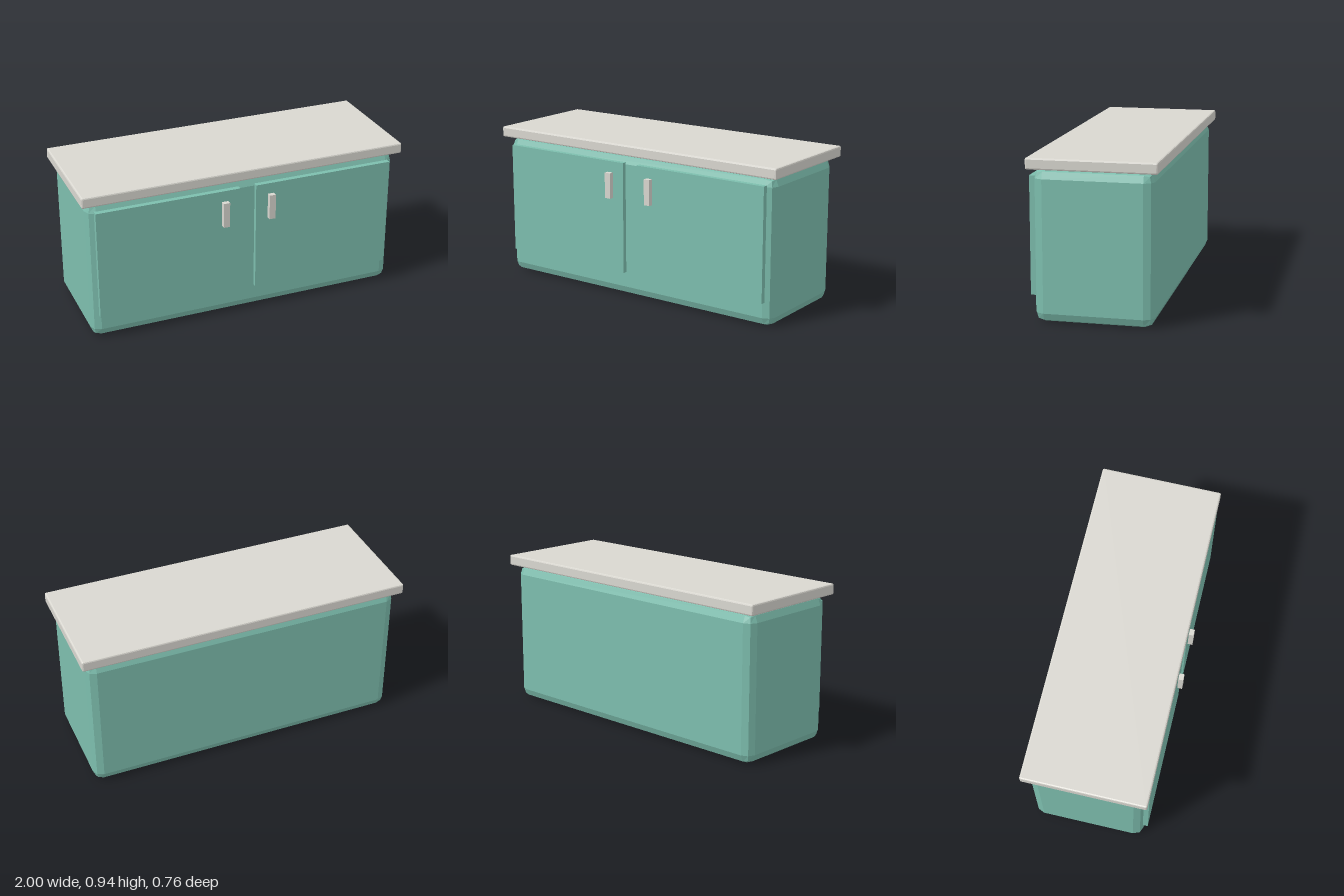
import * as THREE from 'three';
import { RoundedBoxGeometry } from 'three/addons/geometries/RoundedBoxGeometry.js';

export function createModel() {
  const group = new THREE.Group();
  group.name = 'cabinet';

  const teal = new THREE.MeshStandardMaterial({ color: 0x7dbeae, flatShading: true });
  teal.name = 'teal paint';
  const stone = new THREE.MeshStandardMaterial({ color: 0xd9d7d0, flatShading: true });
  stone.name = 'pale stone';

  // Box given by its min and max corners, with an optional chamfered edge
  function addBox(name, material, min, max, radius = 0) {
    const [w, h, d] = max.map((v, i) => v - min[i]);
    const geometry = radius
      ? new RoundedBoxGeometry(w, h, d, 1, radius)
      : new THREE.BoxGeometry(w, h, d);
    const mesh = new THREE.Mesh(geometry, material);
    mesh.name = name;
    mesh.position.set(...max.map((v, i) => (v + min[i]) / 2));
    group.add(mesh);
  }

  // Carcass and worktop
  addBox('body', teal, [-0.967, 0, -0.35], [0.967, 0.872, 0.327], 0.056);
  addBox('worktop', stone, [-1, 0.872, -0.38], [1, 0.937, 0.355], 0.009);

  // Mirrored doors with handles near the middle
  for (const [side, s] of [['left', 1], ['right', -1]]) {
    const span = (a, b) => (s > 0 ? [a, b] : [-b, -a]);
    const [d0, d1] = span(0.05, 0.923);
    addBox(side + 'Door', teal, [d0, 0.149, 0.315], [d1, 0.827, 0.353]);
    const [h0, h1] = span(0.125, 0.164);
    addBox(side + 'Handle', stone, [h0, 0.605, 0.345], [h1, 0.76, 0.382]);
  }

  return group;
}
